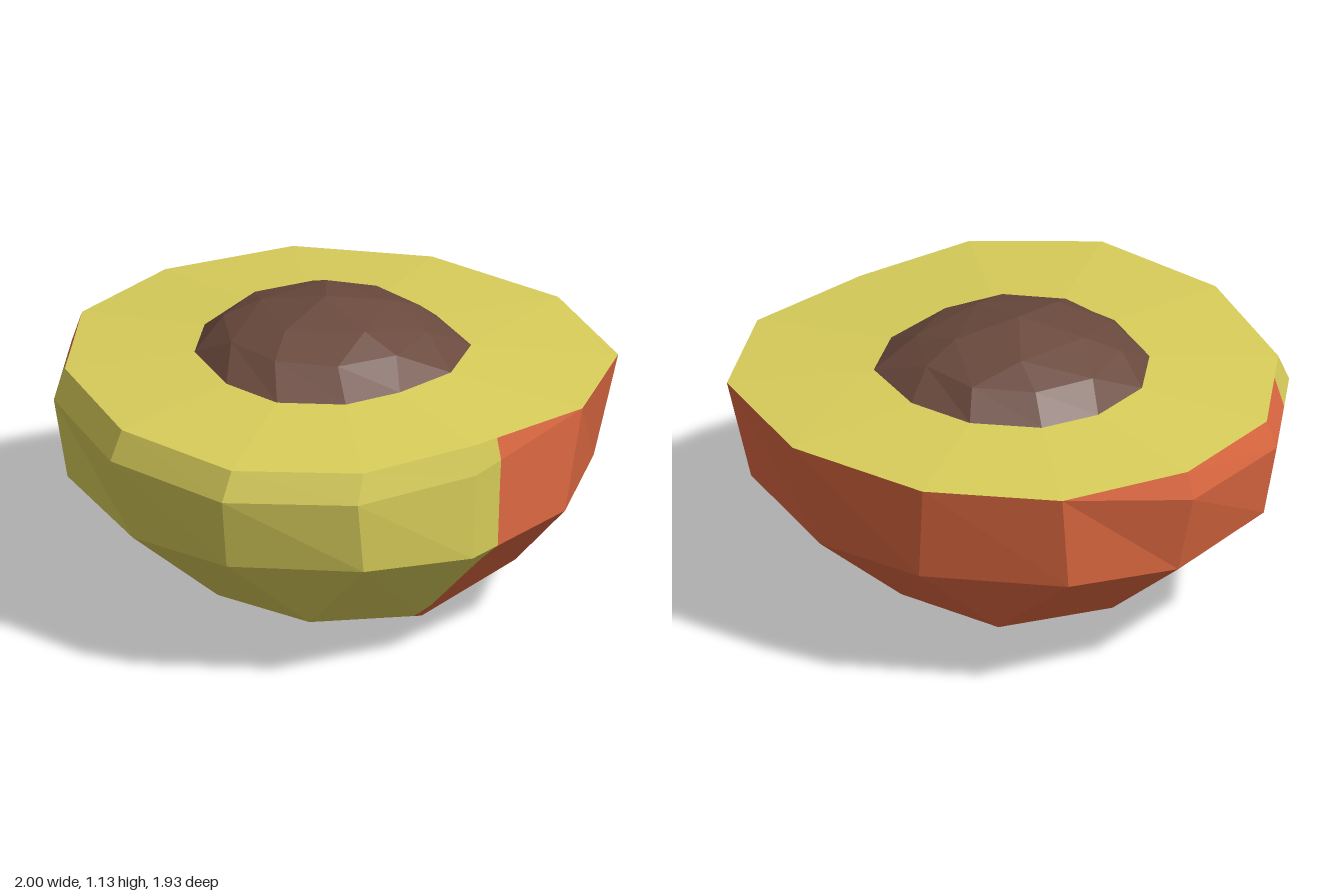
import * as THREE from 'three';

// turns a flat list of x, y, z into a ring of points
const ring = (...n) => Array.from({ length: n.length / 3 }, (_, i) => new THREE.Vector3(n[3 * i], n[3 * i + 1], n[3 * i + 2]));

// a ring of points at one height
const flatRing = (y, ...n) => Array.from({ length: n.length / 2 }, (_, i) => new THREE.Vector3(n[2 * i], y, n[2 * i + 1]));

// a regular ring of points around the stone's axis
const circle = (count, r, y, phase) => Array.from({ length: count }, (_, i) => {
  const a = phase + (i / count) * Math.PI * 2;
  return new THREE.Vector3(0.02 + r * Math.cos(a), y, r * Math.sin(a));
});

// triangles joining a lower/outer ring to an upper/inner ring of any counts
function stitch(a, b) {
  const tris = [], n = a.length, m = b.length;
  const A = (i) => a[i % n], B = (j) => b[j % m];
  let i = 0, j = 0;
  const endI = n === 1 ? 0 : n, endJ = m === 1 ? 0 : m;
  while (i < endI || j < endJ) {
    const upper = i >= endI || (j < endJ && (j + 1) / m <= (i + 1) / n);
    if (upper) { tris.push([A(i), B(j), B(j + 1)]); j++; }
    else { tris.push([A(i), B(j), A(i + 1)]); i++; }
  }
  return tris;
}

// stitches a whole stack of rings
const loft = (rings) => rings.slice(1).flatMap((r, i) => stitch(rings[i], r));

// keeps the part of each triangle where side(p) >= 0
function clip(tris, side) {
  const out = [];
  for (const t of tris) {
    const poly = [];
    t.forEach((p, i) => {
      const q = t[(i + 1) % 3], dp = side(p), dq = side(q);
      if (dp >= 0) poly.push(p);
      if ((dp >= 0) !== (dq >= 0)) poly.push(p.clone().lerp(q, dp / (dp - dq)));
    });
    for (let k = 2; k < poly.length; k++) out.push([poly[0], poly[k - 1], poly[k]]);
  }
  return out;
}

function makeMesh(name, tris, material) {
  const solid = tris.filter(([a, b, c]) => new THREE.Triangle(a, b, c).getArea() > 1e-7);
  const geometry = new THREE.BufferGeometry().setFromPoints(solid.flat());
  geometry.computeVertexNormals(); // unshared corners give flat facets
  const mesh = new THREE.Mesh(geometry, material);
  mesh.name = name;
  return mesh;
}

export function createModel() {
  const make = (name, color) => Object.assign(new THREE.MeshStandardMaterial({ color, flatShading: true }), { name });
  const flesh = make('yellow green flesh', 0xd8cd5a);
  const skin = make('red skin', 0xe06a42);
  const brown = make('brown stone', 0x6b4a3e);

  // bowl rings from the base up, each starting at +x and turning towards +z
  const base = ring(-0.02, 0, 0.08);
  const low = ring(
    0.5, 0.12, 0.08, 0.45, 0.18, 0.57, -0.02, 0.11, 0.64, -0.47, 0.18, 0.57,
    -0.52, 0.12, 0.08, -0.47, 0.18, -0.42, -0.02, 0.13, -0.49, 0.45, 0.18, -0.42);
  const middle = ring(
    0.87, 0.45, 0.08, 0.8, 0.5, 0.57, 0.43, 0.5, 0.9, -0.02, 0.45, 0.95,
    -0.47, 0.5, 0.9, -0.84, 0.5, 0.57, -0.9, 0.45, 0.08, -0.84, 0.5, -0.4,
    -0.47, 0.5, -0.8, -0.02, 0.45, -0.87, 0.43, 0.5, -0.8, 0.8, 0.5, -0.4);
  const widest = flatRing(0.78,
    1, 0.08, 0.88, 0.61, 0.5, 0.91, -0.01, 0.96, -0.51, 0.92, -0.89, 0.61,
    -1, 0.08, -0.85, -0.47, -0.49, -0.85, -0.01, -0.97, 0.49, -0.84, 0.84, -0.47);
  const rim = flatRing(0.89,
    1, 0.08, 0.88, 0.61, 0.5, 0.91, 0, 0.94, -0.47, 0.9, -0.84, 0.6,
    -0.95, 0.08, -0.8, -0.47, -0.46, -0.83, 0, -0.95, 0.49, -0.84, 0.84, -0.47);
  // the cut meets the widest ring on the +x side
  [0, 1, 2, 10, 11].forEach((i) => { widest[i].y = 0.89; });

  // one upright plane divides the bowl into red skin and bare flesh
  const bowl = loft([base, low, middle, widest, rim]);
  const side = (p) => p.x - 0.11 - (p.z - 0.95) * 0.519;

  // stone, a faceted dome rising out of the cut face
  const stoneEdge = flatRing(0.93,
    0.5, 0.02, 0.45, 0.3, 0.25, 0.45, 0, 0.48, -0.22, 0.45, -0.41, 0.29,
    -0.46, 0.05, -0.39, -0.24, -0.22, -0.41, 0.03, -0.47, 0.25, -0.42, 0.43, -0.23);
  const dome = loft([stoneEdge, circle(10, 0.375, 1.02, 0.2), circle(5, 0.245, 1.08, 0.33), ring(0.02, 1.13, 0)]);

  const group = new THREE.Group();
  group.name = 'halvedFruit';
  group.add(
    makeMesh('redSkin', clip(bowl, side), skin),
    makeMesh('bareSide', clip(bowl, (p) => -side(p)), flesh),
    makeMesh('cutFace', stitch(rim, stoneEdge), flesh),
    makeMesh('stone', dome, brown),
  );
  return group;
}
